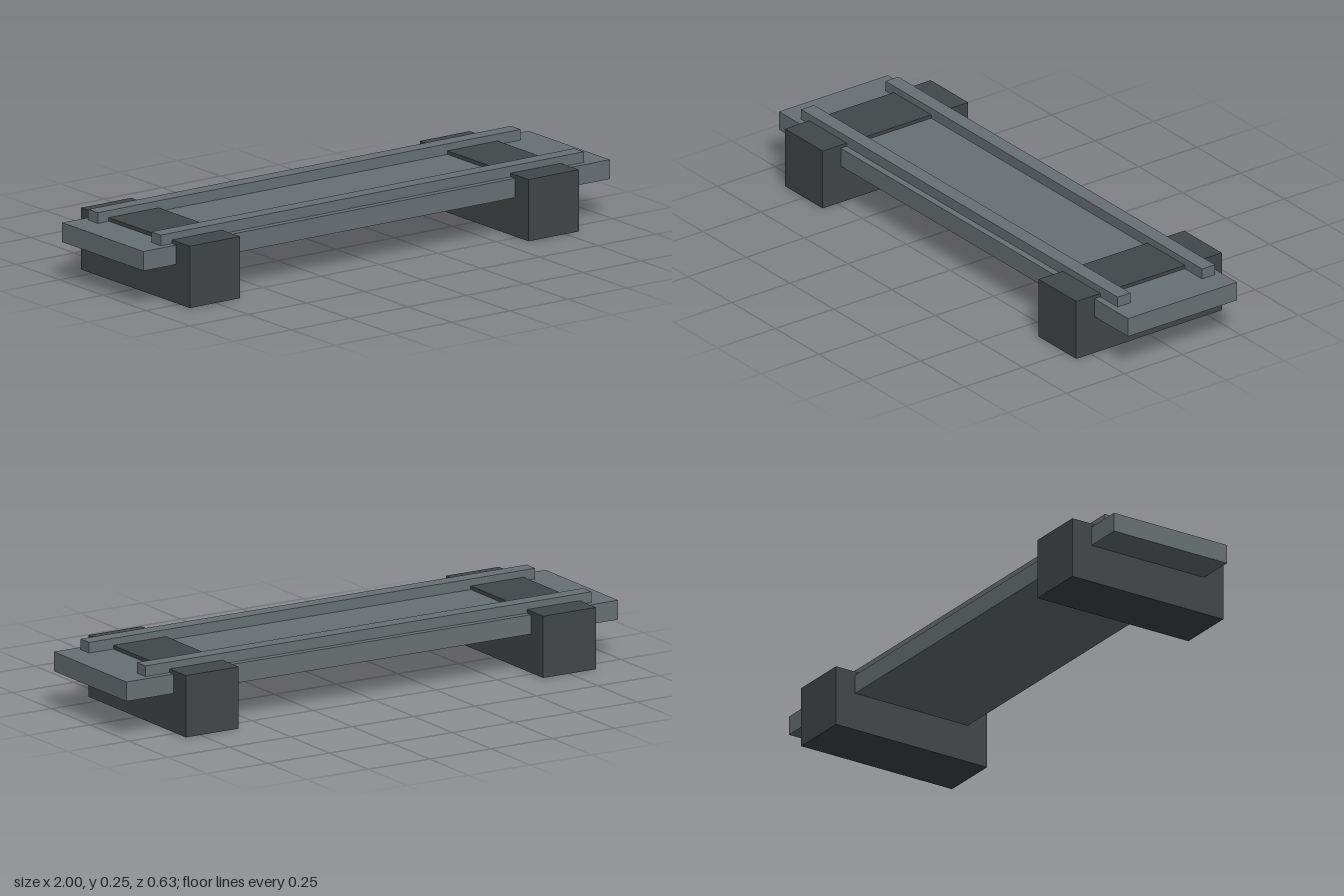
import * as THREE from 'three';

export function createModel() {
  const group = new THREE.Group();
  const deckGrey = new THREE.MeshStandardMaterial({ color: 0x697174 });
  deckGrey.name = 'deckGrey';
  const darkGrey = new THREE.MeshStandardMaterial({ color: 0x424749 });
  darkGrey.name = 'darkGrey';

  // Box given by its lower and upper limits on each axis
  function box(name, material, [x0, x1], [y0, y1], [z0, z1]) {
    const mesh = new THREE.Mesh(new THREE.BoxGeometry(x1 - x0, y1 - y0, z1 - z0), material);
    mesh.position.set((x0 + x1) / 2, (y0 + y1) / 2, (z0 + z1) / 2);
    mesh.name = name;
    group.add(mesh);
  }

  // Long flat deck
  box('deck', deckGrey, [-1, 1], [0.138, 0.207], [-0.234, 0.234]);

  // Two cross supports that rise slightly through the deck
  box('rightSupport', darkGrey, [-0.86, -0.645], [0, 0.22], [-0.313, 0.313]);
  box('leftSupport', darkGrey, [0.593, 0.808], [0, 0.22], [-0.313, 0.313]);

  // Raised rails along both long edges
  box('frontRail', deckGrey, [-0.907, 0.907], [0.207, 0.245], [0.154, 0.209]);
  box('backRail', deckGrey, [-0.907, 0.907], [0.207, 0.245], [-0.209, -0.154]);

  return group;
}
